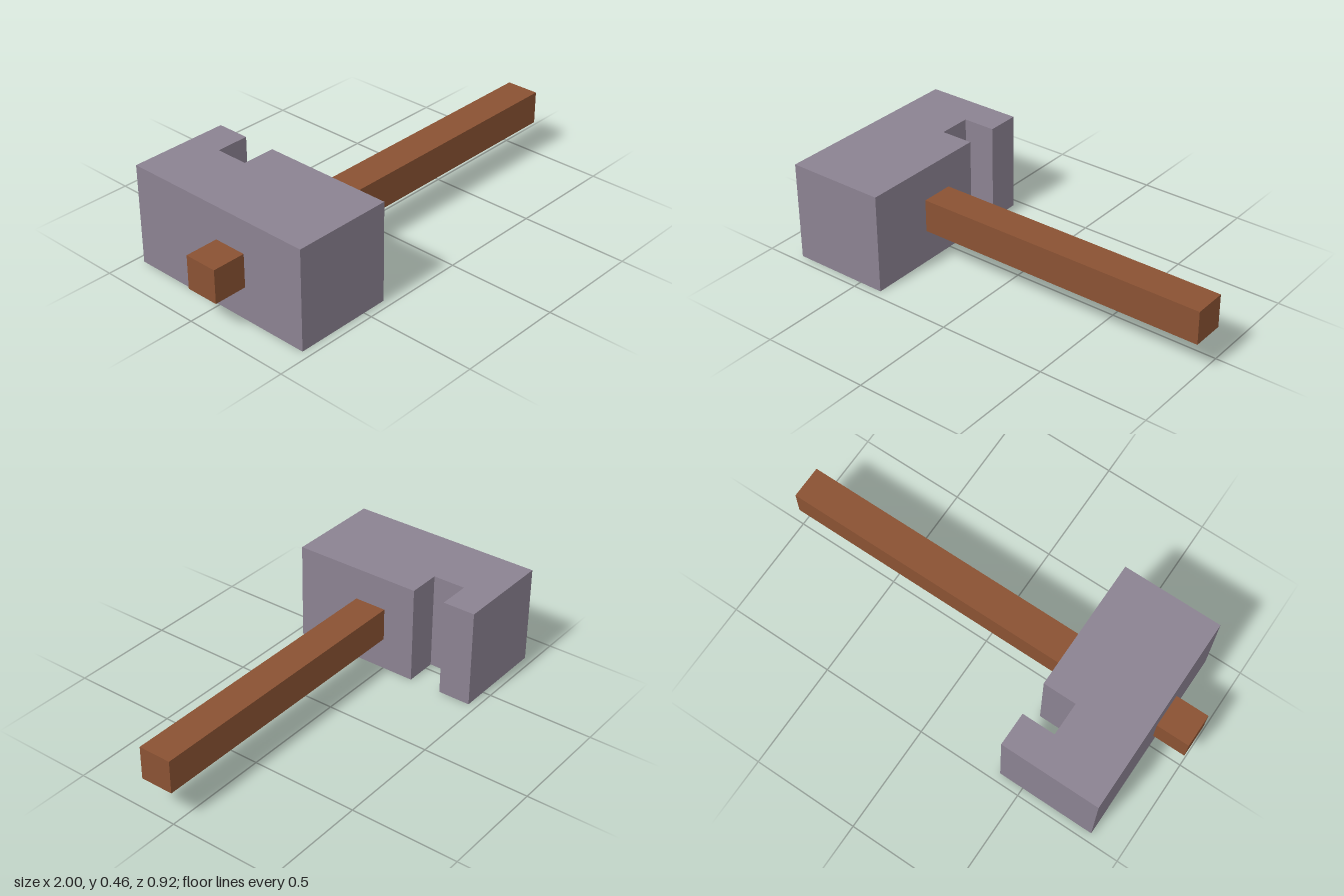
import * as THREE from 'three';

const U = 2 / 13; // handle thickness; every dimension is a multiple of it

export function createModel() {
  const stone = new THREE.MeshStandardMaterial({ name: 'greyStone', color: 0x8b8291 });
  const wood = new THREE.MeshStandardMaterial({ name: 'brownWood', color: 0x8a5233 });
  const model = new THREE.Group();
  model.name = 'hammer';

  // Head: plan outline with a notch in the inner side, extruded upward (shape y = -z)
  const outline = [[-5.5, -3], [-2.5, -3], [-2.5, 1], [-3.5, 1], [-3.5, 2], [-2.5, 2], [-2.5, 3], [-5.5, 3]];
  const shape = new THREE.Shape(outline.map(([x, y]) => new THREE.Vector2(x * U, y * U)));
  const headGeometry = new THREE.ExtrudeGeometry(shape, { depth: 3 * U, bevelEnabled: false });
  headGeometry.rotateX(-Math.PI / 2);
  const head = new THREE.Mesh(headGeometry, stone);
  head.name = 'head';
  model.add(head);

  // Handle: square bar passing through the head, in front of its centre line
  const handle = new THREE.Mesh(new THREE.BoxGeometry(13 * U, U, U), wood);
  handle.name = 'handle';
  handle.position.set(0, 1.5 * U, 0.5 * U);
  model.add(handle);

  return model;
}
